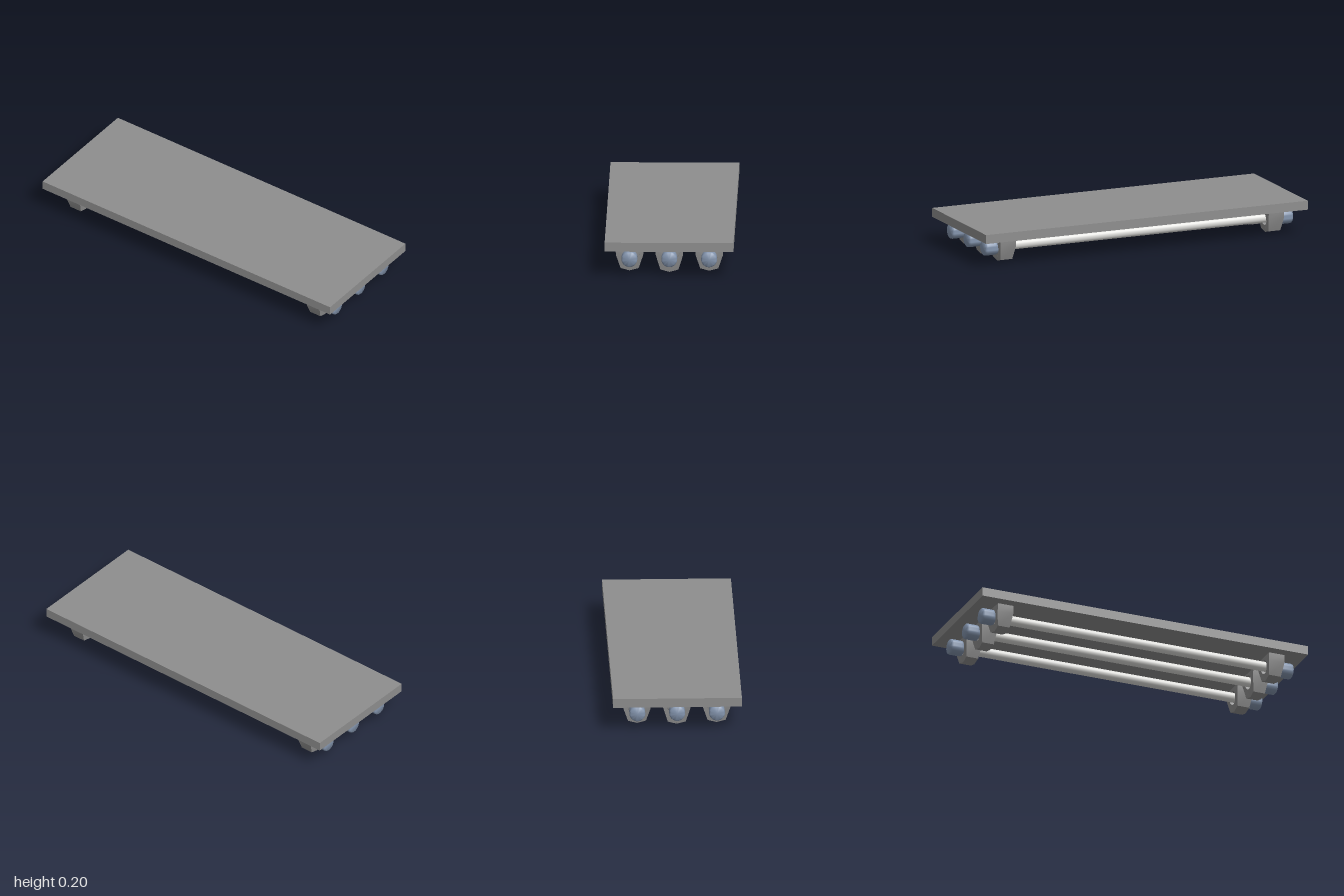
import * as THREE from 'three';
import { toCreasedNormals } from 'three/addons/utils/BufferGeometryUtils.js';

const grey = new THREE.MeshStandardMaterial({ color: 0x8e8e8e });
grey.name = 'deck grey';
const steel = new THREE.MeshStandardMaterial({ color: 0xdededb });
steel.name = 'pale steel';
const blue = new THREE.MeshStandardMaterial({ color: 0x8495ae });
blue.name = 'slate blue';

const AXLE_Y = 0.09;

function part(name, geometry, material, x = 0, y = 0, z = 0) {
  const mesh = new THREE.Mesh(geometry, material);
  mesh.name = name;
  mesh.position.set(x, y, z);
  return mesh;
}

// Hanger: pointed plate with an axle hole, thinner towards its lower end
function bracketGeometry(drop) {
  const half = [[0.08, 0.148], [0.077, 0.1], [0.051, 0.022 - drop]];
  const points = [
    ...half.map(([z, y]) => new THREE.Vector2(-z, y)),
    new THREE.Vector2(0, 0.008 - drop),
    ...half.reverse().map(([z, y]) => new THREE.Vector2(z, y)),
  ];
  const shape = new THREE.Shape(points);
  const hole = new THREE.Path();
  hole.absarc(0, AXLE_Y, 0.04, 0, Math.PI * 2, true);
  shape.holes.push(hole);
  const geo = new THREE.ExtrudeGeometry(shape, { depth: 0.096, bevelEnabled: false, curveSegments: 16 });
  geo.translate(0, 0, -0.048);
  const pos = geo.attributes.position;
  for (let i = 0; i < pos.count; i++) {
    const t = THREE.MathUtils.clamp((0.1 - pos.getY(i)) / 0.1, 0, 1);
    pos.setZ(i, pos.getZ(i) * (1 - 0.31 * t));
  }
  geo.rotateY(Math.PI / 2);
  return toCreasedNormals(geo, 0.5);
}

// End cap: short cylinder with rounded rims, its axis along x
function capGeometry() {
  const profile = [[0, 0], [0.04, 0], [0.044, 0.008], [0.045, 0.02], [0.045, 0.068],
    [0.043, 0.076], [0.038, 0.08], [0, 0.081]].map(([r, h]) => new THREE.Vector2(r, h));
  const geo = new THREE.LatheGeometry(profile, 32);
  geo.rotateZ(-Math.PI / 2);
  return toCreasedNormals(geo, 0.9);
}

export function createModel() {
  const model = new THREE.Group();
  model.name = 'board';

  // Flat deck
  model.add(part('deck', new THREE.BoxGeometry(2, 0.052, 0.728), grey, 0, 0.173, 0));

  // Three long axles, each with a hanger and a cap at both ends
  const rod = new THREE.CylinderGeometry(0.028, 0.028, 1.77, 32).rotateZ(Math.PI / 2);
  const cap = capGeometry();
  for (const z of [-0.225, 0, 0.225]) {
    const axle = new THREE.Group();
    axle.name = 'axleAssembly';
    axle.position.z = z;
    axle.add(part('axle', rod, steel, 0, AXLE_Y + 0.002, 0));
    const bracket = bracketGeometry(z === 0 ? 0.008 : 0);
    for (const side of [1, -1]) {
      axle.add(part('bracket', bracket, grey, side * 0.833, 0, 0));
      const end = part('endCap', cap, blue, side * 0.875, AXLE_Y, 0);
      if (side < 0) end.rotation.y = Math.PI;
      axle.add(end);
    }
    model.add(axle);
  }
  return model;
}
